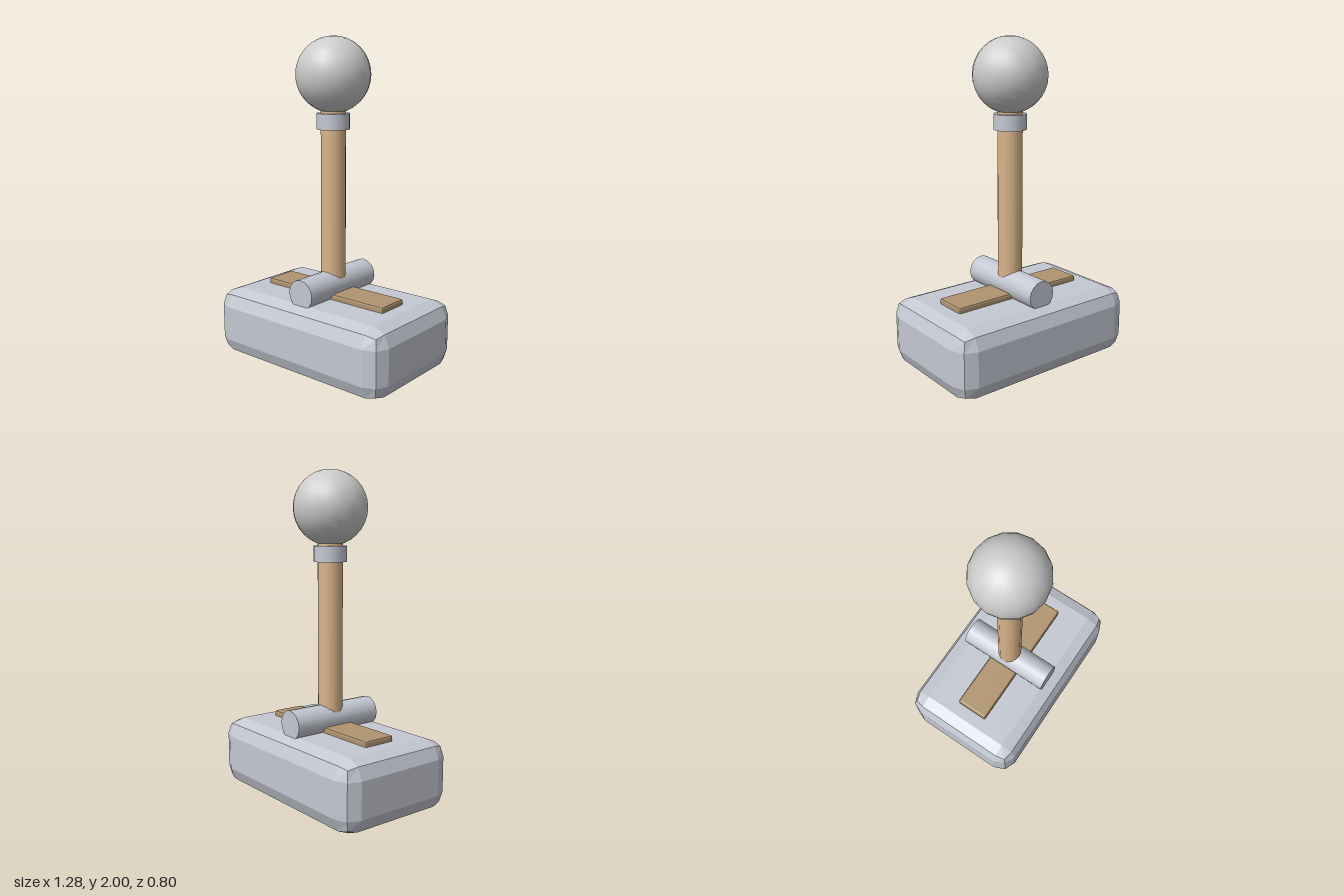
import * as THREE from 'three';
import { RoundedBoxGeometry } from 'three/addons/geometries/RoundedBoxGeometry.js';

const material = (color, flatShading = false) => new THREE.MeshStandardMaterial({ color, flatShading });

export function createModel() {
  const group = new THREE.Group();
  const metal = material(0xc4c8d2);
  const add = (name, geometry, mat, y) => {
    const mesh = new THREE.Mesh(geometry, mat);
    mesh.name = name;
    mesh.position.y = y;
    group.add(mesh);
    return mesh;
  };

  // Heavy base block with two-step bevelled edges
  add('base', new RoundedBoxGeometry(1.28, 0.43, 0.8, 1, 0.106), material(0xc4c8d2, true), 0.215);

  // Thin plate let into the top of the base
  add('topPlate', new RoundedBoxGeometry(0.91, 0.07, 0.21, 1, 0.012), material(0xb0946f, true), 0.43);

  // Pivot bar lying front to back
  add('pivotBar', new THREE.CylinderGeometry(0.09, 0.09, 0.61, 16).rotateX(Math.PI / 2), metal, 0.495);

  // Upright stick, sunk into the bar below and the knob above
  add('stick', new THREE.CylinderGeometry(0.076, 0.076, 1.07, 16), material(0xdab48a), 1.035);

  // Collar and ball knob
  add('collar', new THREE.CylinderGeometry(0.1, 0.1, 0.095, 16), metal, 1.5025);
  add('knob', new THREE.SphereGeometry(0.225, 16, 16), material(0xcccccc), 1.775);

  return group;
}
